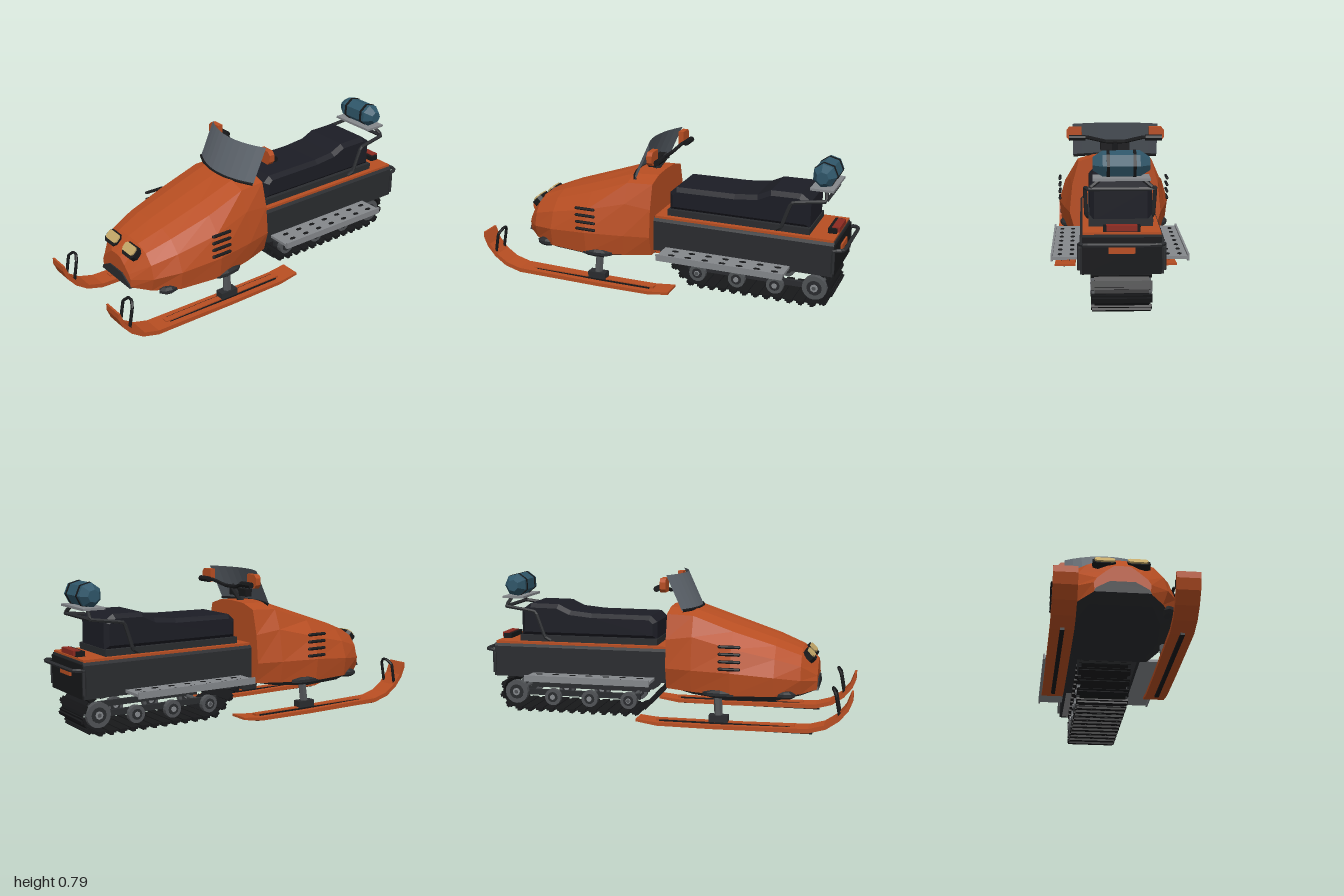
import * as THREE from 'three';

const mat = (color, side = THREE.FrontSide) => new THREE.MeshStandardMaterial({ color, side, flatShading: true });
const M = {
  orange: mat(0xb84e22), dark: mat(0x2a2c2f), black: mat(0x17181a), seat: mat(0x1c1d25), steel: mat(0x505356),
  light: mat(0x85888c), lamp: mat(0xc4a868), red: mat(0x8c2a20), blue: mat(0x2f5669), glass: mat(0x5c636b, THREE.DoubleSide),
};
const V = (x, y, z) => new THREE.Vector3(x, y, z);

export function createModel() {
  const root = new THREE.Group();
  root.name = 'snowmobile';
  const add = (name, geo, m, x = 0, y = 0, z = 0, parent = root) => {
    const mesh = new THREE.Mesh(geo, m);
    mesh.name = name;
    mesh.position.set(x, y, z);
    parent.add(mesh);
    return mesh;
  };
  const box = (name, w, h, d, m, x, y, z, p) => add(name, new THREE.BoxGeometry(w, h, d), m, x, y, z, p);
  // Cylinder whose axis runs along x
  const wheel = (name, r, w, m, x, y, z, sides = 16) =>
    add(name, new THREE.CylinderGeometry(r, r, w, sides).rotateZ(Math.PI / 2), m, x, y, z);
  const tube = (name, pts, r, m, p) => {
    const path = new THREE.CatmullRomCurve3(pts.map(a => V(...a)), false, 'catmullrom', 0.1);
    return add(name, new THREE.TubeGeometry(path, pts.length * 5, r, 6), m, 0, 0, 0, p);
  };
  const shape = pts => new THREE.Shape(pts.map(p => new THREE.Vector2(...p)));
  // Profile given as [z, y], extruded across x and centred
  const extrudeX = (pts, w, bevel = 0) => new THREE.ExtrudeGeometry(shape(pts), {
    depth: w - 2 * bevel, bevelEnabled: bevel > 0, bevelSize: bevel, bevelOffset: -bevel, bevelThickness: bevel, bevelSegments: 1,
  }).rotateY(-Math.PI / 2).translate(w / 2 - bevel, 0, 0);
  // Skin through rings of points that run counter-clockwise seen from +z
  const loft = (rings, closed) => {
    const n = rings[0].length, idx = [], last = (rings.length - 1) * n;
    for (let i = 0; i < rings.length - 1; i++)
      for (let j = 0; j < (closed ? n : n - 1); j++) {
        const a = i * n + j, b = i * n + (j + 1) % n;
        idx.push(a, b, a + n, b, b + n, a + n);
      }
    for (let j = 1; j < n - 1; j++) idx.push(0, j + 1, j, last, last + j, last + j + 1);
    const g = new THREE.BufferGeometry();
    g.setAttribute('position', new THREE.Float32BufferAttribute(rings.flat(2), 3));
    g.setIndex(idx);
    g.computeVertexNormals();
    return g;
  };

  // Cowl: half sections [x, y] from lower edge to crown
  const stations = [
    [0.03, [[.22, .19], [.25, .30], [.235, .45], [.2, .58], [.11, .607], [0, .612]]],
    [0.17, [[.26, .185], [.28, .30], [.25, .47], [.205, .575], [.12, .602], [0, .608]]],
    [0.38, [[.30, .18], [.315, .30], [.28, .42], [.21, .50], [.12, .53], [0, .54]]],
    [0.60, [[.27, .18], [.285, .28], [.25, .37], [.19, .43], [.11, .457], [0, .465]]],
    [0.73, [[.2, .185], [.225, .26], [.205, .33], [.16, .38], [.09, .405], [0, .41]]],
    [0.81, [[.13, .2], [.135, .245], [.12, .27], [.08, .305], [.04, .335], [0, .337]]],
  ];
  add('cowl', loft(stations.map(([z, h]) => [
    ...h.map(([x, y]) => [x, y, z]), ...h.slice(0, -1).reverse().map(([x, y]) => [-x, y, z])])), M.orange);
  const floor = [.188, .16, .142, .145, .17, .195];
  add('bellyPan', loft(stations.map(([z, h], i) => {
    const [w, y] = h[0];
    return [[-w, y, z], [-w * .76, floor[i], z], [w * .76, floor[i], z], [w, y, z]];
  }), true), M.dark);
  add('noseBumper', new THREE.ExtrudeGeometry(shape([[-.135, .195], [.135, .195], [.125, .215], [.06, .252], [-.06, .252], [-.125, .215]]),
    { depth: .04, bevelEnabled: false }), M.dark, 0, 0, .777);

  // Windshield: raked, bowed panel with a lower trim
  const bow = x => -.065 * (x / .23) ** 2;
  const screen = new THREE.PlaneGeometry(.46, 1, 10, 1), sp = screen.attributes.position;
  for (let i = 0; i < sp.count; i++) {
    const x = sp.getX(i), t = sp.getY(i) + .5;
    sp.setXYZ(i, x, .602 + .183 * t, .18 - .083 * t + bow(x));
  }
  screen.computeVertexNormals();
  add('windshield', screen, M.glass);
  tube('windshieldTrim', [-.23, -.15, -.07, 0, .07, .15, .23].map(x => [x, .602, .18 + bow(x)]), .008, M.black);

  // Steering
  tube('steeringColumn', [[0, .59, .1], [0, .70, .02]], .016, M.dark);
  tube('handlebar', [[-.25, .715, -.015], [-.15, .715, .0], [-.05, .69, .02], [.05, .69, .02], [.15, .715, 0], [.25, .715, -.015]], .01, M.black);
  box('instrumentPod', .16, .04, .04, M.black, 0, .655, .085);

  for (const s of [-1, 1]) {
    wheel('grip', .016, .09, M.black, s * .205, .715, -.015, 8);
    add('handGuard', new THREE.ExtrudeGeometry(shape([[-.045, -.036], [.022, -.036], [.038, -.018], [.038, .018], [.022, .036], [-.045, .036]]
      .map(([x, y]) => [x, y])), { depth: .03, bevelEnabled: false }).rotateY(s < 0 ? Math.PI : 0).translate(0, 0, s < 0 ? .03 : 0),
      M.orange, s * .226, .734, .005);

    // Headlights lie on the sloped nose
    const lamp = new THREE.Group();
    lamp.name = 'headlight';
    lamp.position.set(s * .083, .373, .768);
    lamp.rotation.set(-.78, 0, 0);
    root.add(lamp);
    const plate = (w, h, c) => shape([[-w + c, -h], [w - c, -h], [w, -h + c], [w, h - c], [w - c, h], [-w + c, h], [-w, h - c], [-w, -h + c]]);
    add('bezel', new THREE.ExtrudeGeometry(plate(.054, .036, .018), { depth: .03, bevelEnabled: false }), M.black, 0, 0, -.02, lamp);
    add('lens', new THREE.ExtrudeGeometry(plate(.048, .024, .011), { depth: .01, bevelEnabled: false }), M.lamp, -s * .004, .005, .008, lamp);

    // Side louvres and lower fairings
    for (let i = 0; i < 4; i++)
      add('louvre', new THREE.CapsuleGeometry(.0085, .1, 3, 8).rotateX(Math.PI / 2), M.black, s * .31, .32 + i * .0385, .375);
    for (const [x, z, l] of [[.275, .33, .1], [.235, .65, .06]])
      add('lowerFairing', new THREE.SphereGeometry(1, 8, 5).scale(.035, .024, l), M.dark, s * x, .185, z);

    // Ski with keel, rib, spindle and tip loop
    const ski = new THREE.Group();
    ski.name = 'ski';
    ski.position.x = s * .275;
    root.add(ski);
    add('skiBlade', extrudeX([[1, .222], [.99, .222], [.965, .155], [.92, .10], [.86, .06], [.78, .038], [.3, .03], [0, .03], [-.11, .042],
      [-.11, .03], [0, .012], [.3, .01], [.78, .015], [.87, .04], [.935, .085], [.98, .14], [1, .19]], .112), M.orange, 0, 0, 0, ski);
    box('skiRib', .034, .012, .72, M.orange, 0, .036, .35, ski);
    for (const t of [-1, 1]) box('skiGroove', .005, .01, .68, M.black, t * .022, .033, .35, ski);
    box('skiKeel', .02, .012, .8, M.black, 0, .006, .4, ski);
    tube('skiLoop', [[-.042, .11, .935], [-.042, .215, .915], [-.015, .242, .9], [.015, .242, .9], [.042, .215, .915], [.042, .11, .935]], .008, M.black, ski);
    box('spindleFoot', .05, .035, .1, M.dark, 0, .057, .32, ski);
    tube('spindle', [[0, .05, .32], [-s * .015, .2, .31]], .022, M.steel, ski);

    // Running board with dark slots and raised outer lip
    box('runningBoard', .135, .014, .68, M.light, s * .256, .229, -.38);
    box('boardLip', .01, .034, .68, M.light, s * .325, .23, -.38);
    for (let i = 0; i < 7; i++)
      for (const x of [.23, .287])
        add('boardSlot', new THREE.CylinderGeometry(.011, .011, .004, 8).scale(1, 1, 1.7), M.black, s * x, .236, -.67 + i * .093);

    // Suspension rail and wheels
    box('rail', .02, .03, .7, M.dark, s * .1, .108, -.49);
    for (const [z, y, r] of [[-.2, .09, .046], [-.42, .09, .046], [-.63, .09, .046], [-.84, .112, .065]]) {
      wheel('idlerWheel', r, .03, M.steel, s * .122, y, z);
      wheel('wheelRim', r * .62, .034, M.dark, s * .122, y, z, 12);
      wheel('wheelHub', r * .32, .044, M.light, s * .122, y, z, 8);
    }
    wheel('driveWheel', .072, .04, M.dark, s * .12, .228, -.085);

    // Seat rack supports
    tube('rackSupport', [[s * .15, .41, -.63], [s * .16, .43, -.66], [s * .165, .565, -.71], [s * .15, .59, -.88], [s * .1, .63, -.87]], .01, M.dark);
  }
  tube('rackCrossbar', [[-.15, .59, -.88], [.15, .59, -.88]], .01, M.dark);

  // Tunnel, deck and seat
  add('tunnel', new THREE.ExtrudeGeometry(shape([[-.19, .21], [-.175, .21], [-.175, .37], [.175, .37], [.175, .21], [.19, .21], [.19, .375],
    [.175, .392], [-.175, .392], [-.19, .375]]), { depth: .98, bevelEnabled: false }), M.dark, 0, 0, -.94);
  box('rearPlate', .36, .17, .014, M.black, 0, .295, -.94);
  box('deck', .355, .014, .96, M.orange, 0, .395, -.455);
  box('rearReflector', .12, .034, .012, M.orange, 0, .325, -.95);
  box('tailLightBase', .17, .03, .045, M.black, 0, .413, -.905);
  box('tailLight', .14, .026, .04, M.red, 0, .42, -.92);
  tube('rearBumper', [[-.192, .23, -.94], [-.192, .35, -.94], [-.185, .355, -.97], [-.16, .355, -.99], [.16, .355, -.99], [.185, .355, -.97],
    [.192, .35, -.94], [.192, .23, -.94]], .01, M.dark);
  box('seatBase', .3, .035, .77, M.dark, 0, .418, -.42);
  add('seat', extrudeX([[-.04, .43], [-.04, .525], [-.075, .557], [-.4, .56], [-.52, .572], [-.59, .605], [-.75, .607], [-.8, .57], [-.8, .43]], .29, .022), M.seat);

  // Rack with a strapped roll
  box('rackPlate', .26, .012, .12, M.light, 0, .637, -.85);
  const roll = [[0, -.13], [.032, -.13], [.062, -.085], [.062, .085], [.032, .13], [0, .13]].map(p => new THREE.Vector2(...p));
  const turned = g => g.rotateZ(Math.PI / 2).rotateX(Math.PI / 2 + .63);
  add('cargoRoll', turned(new THREE.LatheGeometry(roll, 7)), M.blue, 0, .7, -.85);
  for (const x of [-.06, .06]) add('cargoStrap', turned(new THREE.CylinderGeometry(.065, .065, .014, 7)), M.black, x, .7, -.85);

  // Track: belt and lugs around one closed path
  const loop = new THREE.CatmullRomCurve3([[.2, .01], [.14, -.04], [.03, -.155], [.022, -.3], [.022, -.6], [.022, -.84], [.05, -.9],
    [.11, -.922], [.17, -.9], [.2, -.84], [.225, -.5], [.25, -.1], [.24, -.01]].map(([y, z]) => V(0, y, z)), true, 'catmullrom', .35);
  const beltRings = loop.getSpacedPoints(80).map((p, i) => {
    const t = loop.getTangentAt(i / 80), ny = t.z * .003, nz = -t.y * .003;
    return [[-.125, p.y - ny, p.z - nz], [.125, p.y - ny, p.z - nz], [.125, p.y + ny, p.z + nz], [-.125, p.y + ny, p.z + nz]];
  });
  const belt = add('trackBelt', loft(beltRings, true), M.black);
  belt.material = mat(0x17181a, THREE.DoubleSide);
  const count = 34;
  for (let i = 0; i < count; i++) {
    const p = loop.getPointAt(i / count), t = loop.getTangentAt(i / count);
    const lug = new THREE.Group();
    lug.name = 'trackLug';
    lug.position.copy(p);
    lug.rotation.x = Math.atan2(-t.y, t.z);
    root.add(lug);
    box('lugPad', .28, .014, .04, M.black, 0, 0, 0, lug);
    box('lugBar', .27, .018, .018, M.black, 0, .009, 0, lug);
  }
  for (const z of [-.2, -.84]) wheel('axle', .011, .29, M.steel, 0, z < -.5 ? .112 : .09, z, 8);
  return root;
}
